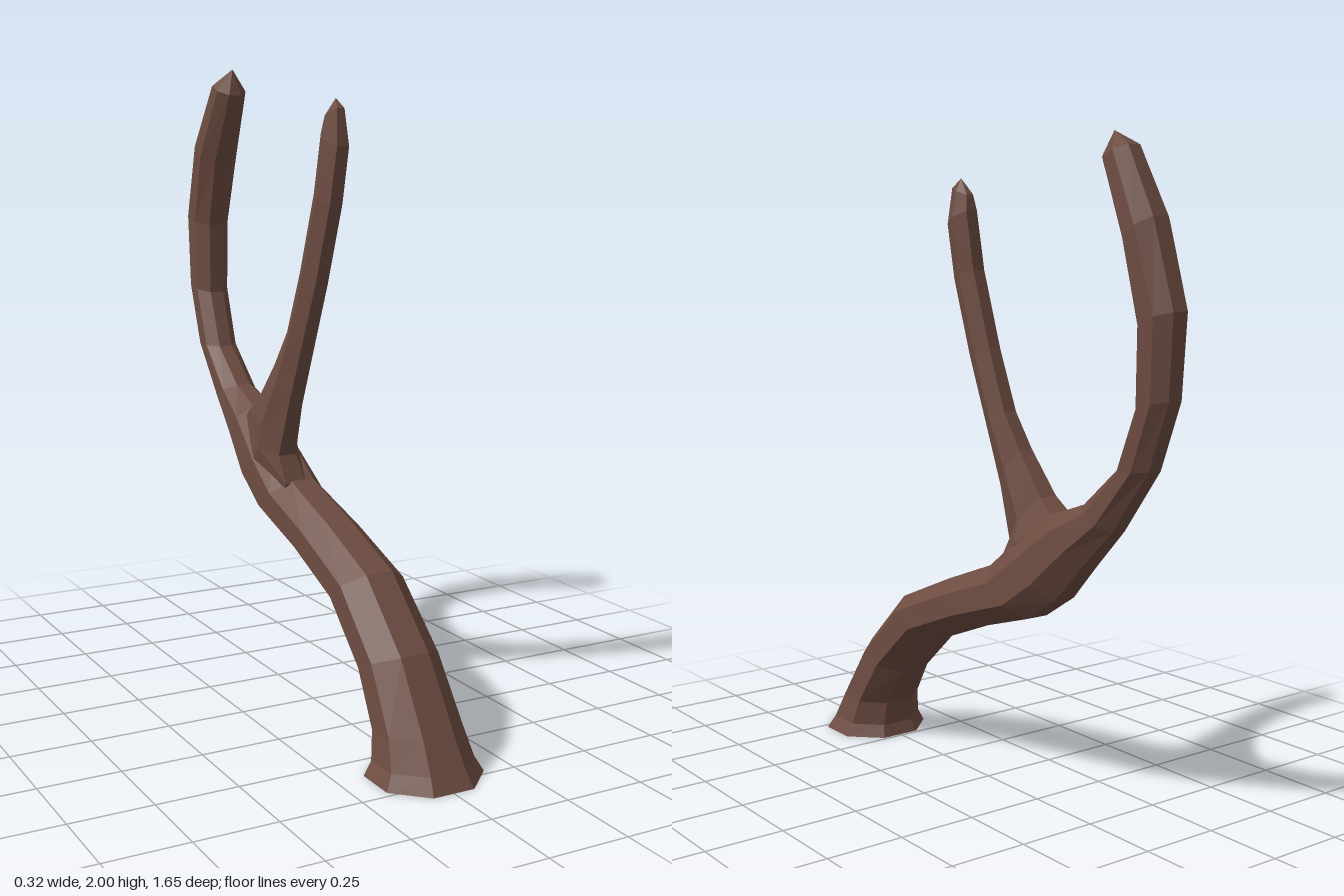
import * as THREE from 'three';

// Rings: [front z, front y, back z, back y, centre x, half width]
const TRUNK = [
  [0.82, 0, 0.51, 0, 0, 0.16],
  [0.79, 0.045, 0.525, 0.04, 0, 0.137],
  [0.74, 0.13, 0.515, 0.12, 0, 0.122],
  [0.61, 0.33, 0.43, 0.25, 0, 0.112],
  [0.41, 0.52, 0.26, 0.4, 0, 0.107],
  [0.16, 0.625, 0.03, 0.49, -0.003, 0.1],
  [-0.05, 0.705, -0.23, 0.57, -0.01, 0.095],
  [-0.17, 0.8, -0.355, 0.65, -0.015, 0.09],
  [-0.33, 0.905, -0.47, 0.77, -0.015, 0.075],
  [-0.47, 0.955, -0.59, 0.89, -0.015, 0.06],
  [-0.6, 1.07, -0.73, 1.08, -0.02, 0.055],
  [-0.68, 1.25, -0.81, 1.28, -0.015, 0.057],
  [-0.69, 1.48, -0.83, 1.52, -0.01, 0.062],
  [-0.64, 1.69, -0.75, 1.77, -0.008, 0.067],
  [-0.55, 1.915, -0.65, 1.96, 0, 0.052],
];
const BRANCH = [
  [-0.1, 0.62, -0.4, 0.82, -0.03, 0.07],
  [-0.05, 0.7, -0.31, 0.9, -0.035, 0.07],
  [-0.09, 0.785, -0.24, 0.94, -0.045, 0.06],
  [-0.035, 0.95, -0.13, 1.07, -0.045, 0.048],
  [0.03, 1.14, -0.065, 1.18, -0.035, 0.045],
  [0.1, 1.34, 0, 1.37, -0.025, 0.042],
  [0.165, 1.58, 0.065, 1.61, -0.012, 0.042],
  [0.185, 1.75, 0.085, 1.79, 0, 0.04],
  [0.17, 1.86, 0.095, 1.84, 0, 0.025],
];

// Skin a closed limb over the rings, ending in a point
function limb(name, rings, sides, tip, material) {
  const pos = [], index = [];
  const step = (Math.PI * 2) / sides;
  const angles = Array.from({ length: sides }, (_, k) => (k + 0.5) * step);
  // Scale so that the ring reaches its full depth and width
  const maxC = Math.max(...angles.map((a) => Math.abs(Math.cos(a))));
  const maxS = Math.max(...angles.map((a) => Math.abs(Math.sin(a))));
  for (const [az, ay, bz, by, cx, hx] of rings) {
    for (const a of angles) {
      const c = Math.cos(a) / maxC, s = Math.sin(a) / maxS;
      pos.push(cx + hx * s, (ay + by + (ay - by) * c) / 2, (az + bz + (az - bz) * c) / 2);
    }
  }
  const last = (rings.length - 1) * sides, tipId = rings.length * sides;
  pos.push(...tip);
  for (let k = 0; k < sides; k++) {
    const n = (k + 1) % sides;
    for (let i = 0; i < last; i += sides) {
      index.push(i + k, i + n, i + sides + n, i + k, i + sides + n, i + sides + k);
    }
    index.push(last + k, last + n, tipId);
    if (k > 0 && k < sides - 1) index.push(0, k + 1, k); // flat base
  }
  const geometry = new THREE.BufferGeometry();
  geometry.setAttribute('position', new THREE.Float32BufferAttribute(pos, 3));
  geometry.setIndex(index);
  const flat = geometry.toNonIndexed();
  flat.computeVertexNormals();
  const mesh = new THREE.Mesh(flat, material);
  mesh.name = name;
  return mesh;
}

export function createModel() {
  const group = new THREE.Group();
  group.name = 'bareTree';
  const bark = new THREE.MeshStandardMaterial({ color: 0x6d4c41, flatShading: true });
  // Curved trunk with flared foot, and the side branch rooted in its bend
  group.add(limb('trunk', TRUNK, 8, [0, 2, -0.57], bark));
  group.add(limb('branch', BRANCH, 6, [0, 1.89, 0.14], bark));
  return group;
}
